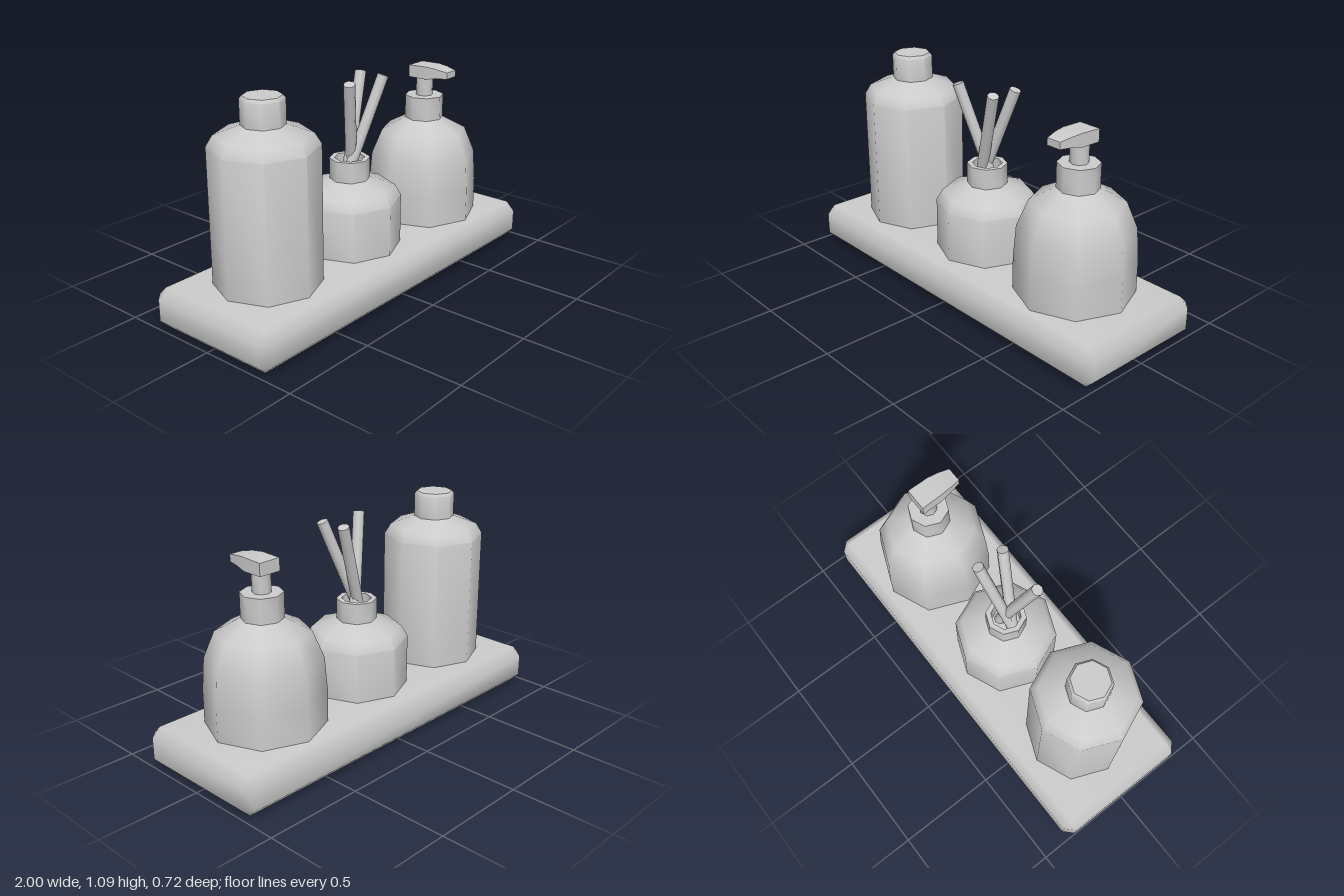
import * as THREE from 'three';
import { mergeVertices, toCreasedNormals } from 'three/addons/utils/BufferGeometryUtils.js';
import { ConvexGeometry } from 'three/addons/geometries/ConvexGeometry.js';

const material = new THREE.MeshStandardMaterial({ color: 0xcccccc });
const CREASE = 0.9; // keeps the eight sides smooth, but neck and rim edges sharp

function addMesh(parent, name, geometry) {
  const mesh = new THREE.Mesh(geometry, material);
  mesh.name = name;
  parent.add(mesh);
  return mesh;
}

// Eight-sided turned part from [radius, y] pairs, listed upwards along the outside
function turned(profile) {
  const points = profile.map(([r, y]) => new THREE.Vector2(r, y));
  return toCreasedNormals(new THREE.LatheGeometry(points, 8), CREASE);
}

// Box with one-step bevels and softly shaded edges
function bevelledBox(hx, hy, hz, b) {
  const points = [];
  for (const x of [-1, 1]) for (const y of [-1, 1]) for (const z of [-1, 1]) {
    points.push(
      new THREE.Vector3(x * hx, y * (hy - b), z * (hz - b)),
      new THREE.Vector3(x * (hx - b), y * hy, z * (hz - b)),
      new THREE.Vector3(x * (hx - b), y * (hy - b), z * hz));
  }
  const geometry = new ConvexGeometry(points);
  geometry.deleteAttribute('normal');
  const welded = mergeVertices(geometry);
  welded.computeVertexNormals();
  return welded;
}

// Rectangular sections [z, halfWidth, bottom, top] joined from back to front
function loft(sections) {
  const positions = [];
  const index = [];
  for (const [z, w, y0, y1] of sections) {
    positions.push(-w, y0, z, w, y0, z, w, y1, z, -w, y1, z);
  }
  for (let s = 0; s < sections.length - 1; s++) {
    for (let i = 0; i < 4; i++) {
      const a = s * 4 + i, b = s * 4 + (i + 1) % 4;
      index.push(a, b, b + 4, a, b + 4, a + 4);
    }
  }
  const e = (sections.length - 1) * 4;
  index.push(0, 2, 1, 0, 3, 2, e, e + 1, e + 2, e, e + 2, e + 3);
  const geometry = new THREE.BufferGeometry();
  geometry.setAttribute('position', new THREE.Float32BufferAttribute(positions, 3));
  geometry.setIndex(index);
  return toCreasedNormals(geometry, 0.7);
}

// Straight eight-sided stick between two points
function addStick(parent, from, to) {
  const a = new THREE.Vector3(...from), b = new THREE.Vector3(...to);
  const direction = b.clone().sub(a);
  const stick = addMesh(parent, 'reedStick', new THREE.CylinderGeometry(0.028, 0.028, direction.length(), 8));
  stick.position.copy(a).add(b).multiplyScalar(0.5);
  stick.quaternion.setFromUnitVectors(new THREE.Vector3(0, 1, 0), direction.normalize());
}

function addGroup(parent, name, x) {
  const group = new THREE.Group();
  group.name = name;
  group.position.x = x;
  parent.add(group);
  return group;
}

export function createModel() {
  const model = new THREE.Group();
  model.name = 'bathroomSet';

  // Tray
  addMesh(model, 'tray', bevelledBox(1, 0.1, 0.36, 0.046)).position.y = 0.1;

  // Tall capped bottle
  const bottle = addGroup(model, 'tallBottle', -0.61);
  addMesh(bottle, 'bottleBody', turned([
    [0.255, 0.19], [0.255, 0.86], [0.223, 0.912], [0.1, 0.957]]));
  addMesh(bottle, 'bottleCap', turned([
    [0.102, 0.95], [0.102, 1.073], [0.09, 1.088], [0, 1.088]]));

  // Reed diffuser with an open, hollow neck
  const diffuser = addGroup(model, 'diffuser', -0.03);
  addMesh(diffuser, 'diffuserJar', turned([
    [0.255, 0.19], [0.255, 0.45], [0.223, 0.503], [0.1, 0.548],
    [0.1, 0.652], [0.074, 0.652], [0.074, 0.56], [0, 0.56]]));
  addStick(diffuser, [0.032, 0.55, -0.015], [-0.108, 1.053, 0.09]);
  addStick(diffuser, [-0.042, 0.55, 0.008], [0.142, 1.05, 0.09]);
  addStick(diffuser, [-0.038, 0.55, 0.012], [0.142, 1.05, -0.05]);

  // Soap dispenser with pump
  const dispenser = addGroup(model, 'soapDispenser', 0.578);
  addMesh(dispenser, 'dispenserBody', turned([
    [0.288, 0.19], [0.288, 0.36], [0.275, 0.525], [0.221, 0.655], [0.1, 0.72]]));
  addMesh(dispenser, 'dispenserCollar', turned([
    [0.1, 0.71], [0.1, 0.842], [0, 0.842]]));
  addMesh(dispenser, 'pumpStem', turned([[0.044, 0.83], [0.044, 0.96]]));
  addMesh(dispenser, 'pumpHead', loft([
    [-0.06, 0.058, 0.938, 1.0], [0.05, 0.056, 0.938, 1.004],
    [0.105, 0.05, 0.951, 0.999], [0.165, 0.038, 0.954, 0.988]]));

  return model;
}
